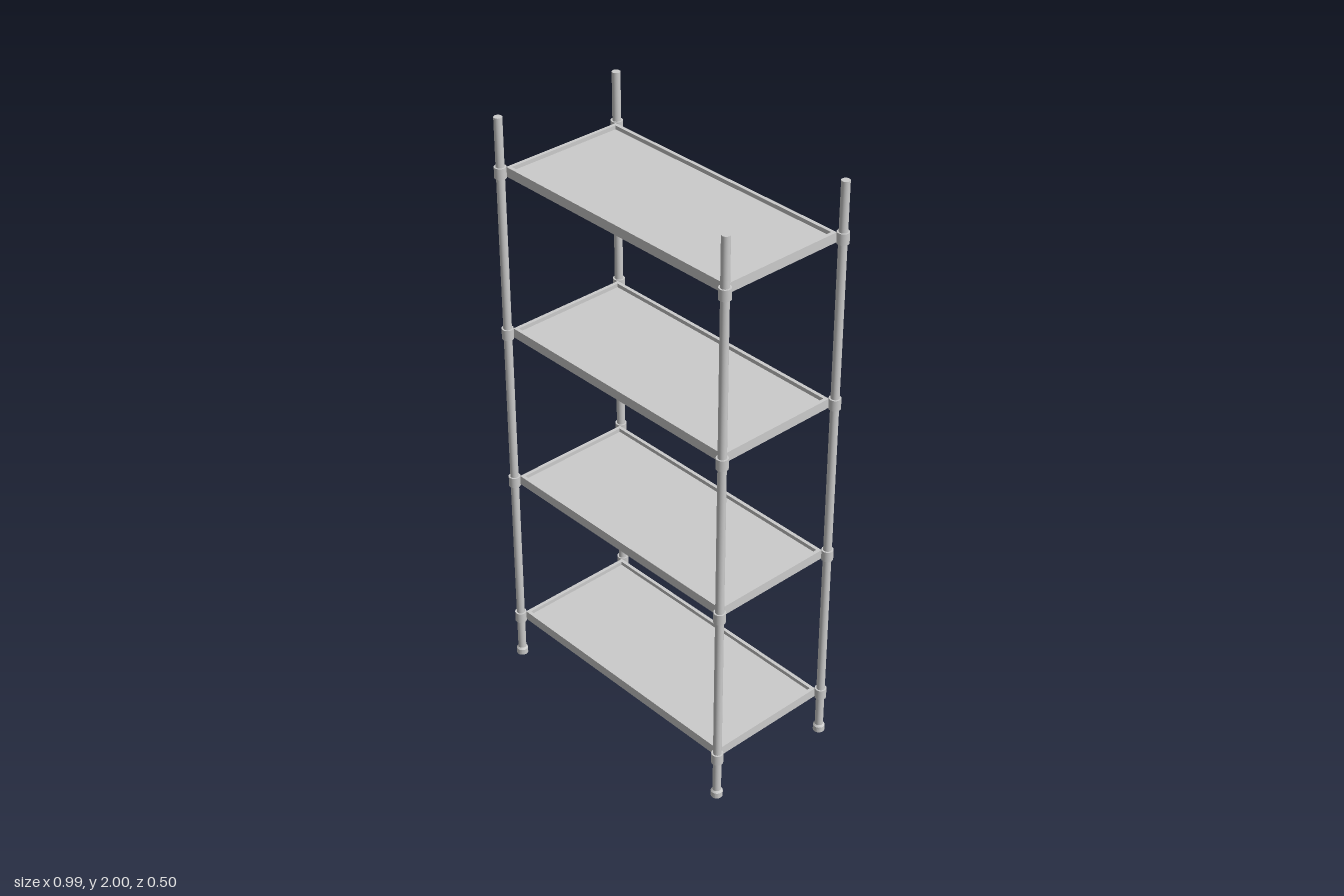
import * as THREE from 'three';

export function createModel() {
  const model = new THREE.Group();
  const steel = new THREE.MeshStandardMaterial({ color: 0xcccccc });
  const postX = 0.478, postZ = 0.229;
  const halfX = 0.467, halfZ = 0.215;
  const railHeight = 0.032, railDepth = 0.012;
  const shelfLevels = [0.156, 0.711, 1.266, 1.821];

  const add = (parent, name, geometry, x, y, z) => {
    const mesh = new THREE.Mesh(geometry, steel);
    mesh.name = name;
    mesh.position.set(x, y, z);
    parent.add(mesh);
  };

  const postGeo = new THREE.CylinderGeometry(0.0135, 0.0135, 1.99, 24);
  const collarGeo = new THREE.CylinderGeometry(0.019, 0.019, 0.036, 24);
  // Foot: a wide base that tapers slightly towards the post
  const footGeo = new THREE.LatheGeometry(
    [[0, 0], [0.019, 0], [0.019, 0.02], [0.0135, 0.026], [0, 0.026]].map(([r, y]) => new THREE.Vector2(r, y)), 24
  ).toNonIndexed();
  footGeo.computeVertexNormals();

  // Four uprights with feet, and a collar at every shelf level
  for (const sx of [-1, 1]) for (const sz of [-1, 1]) {
    const upright = new THREE.Group();
    upright.name = 'upright';
    upright.position.set(sx * postX, 0, sz * postZ);
    add(upright, 'post', postGeo, 0, 1.005, 0);
    add(upright, 'foot', footGeo, 0, 0, 0);
    for (const y of shelfLevels) add(upright, 'collar', collarGeo, 0, y, 0);
    model.add(upright);
  }

  // Shelves: a thin panel recessed in a frame of four rails
  const panelGeo = new THREE.BoxGeometry(2 * (halfX - railDepth), 0.006, 2 * (halfZ - railDepth));
  const longRailGeo = new THREE.BoxGeometry(2 * halfX, railHeight, railDepth);
  const shortRailGeo = new THREE.BoxGeometry(railDepth, railHeight, 2 * (halfZ - railDepth));
  for (const y of shelfLevels) {
    const shelf = new THREE.Group();
    shelf.name = 'shelf';
    shelf.position.y = y;
    add(shelf, 'panel', panelGeo, 0, 0, 0);
    for (const s of [-1, 1]) {
      add(shelf, 'longRail', longRailGeo, 0, 0, s * (halfZ - railDepth / 2));
      add(shelf, 'shortRail', shortRailGeo, s * (halfX - railDepth / 2), 0, 0);
    }
    model.add(shelf);
  }
  return model;
}
